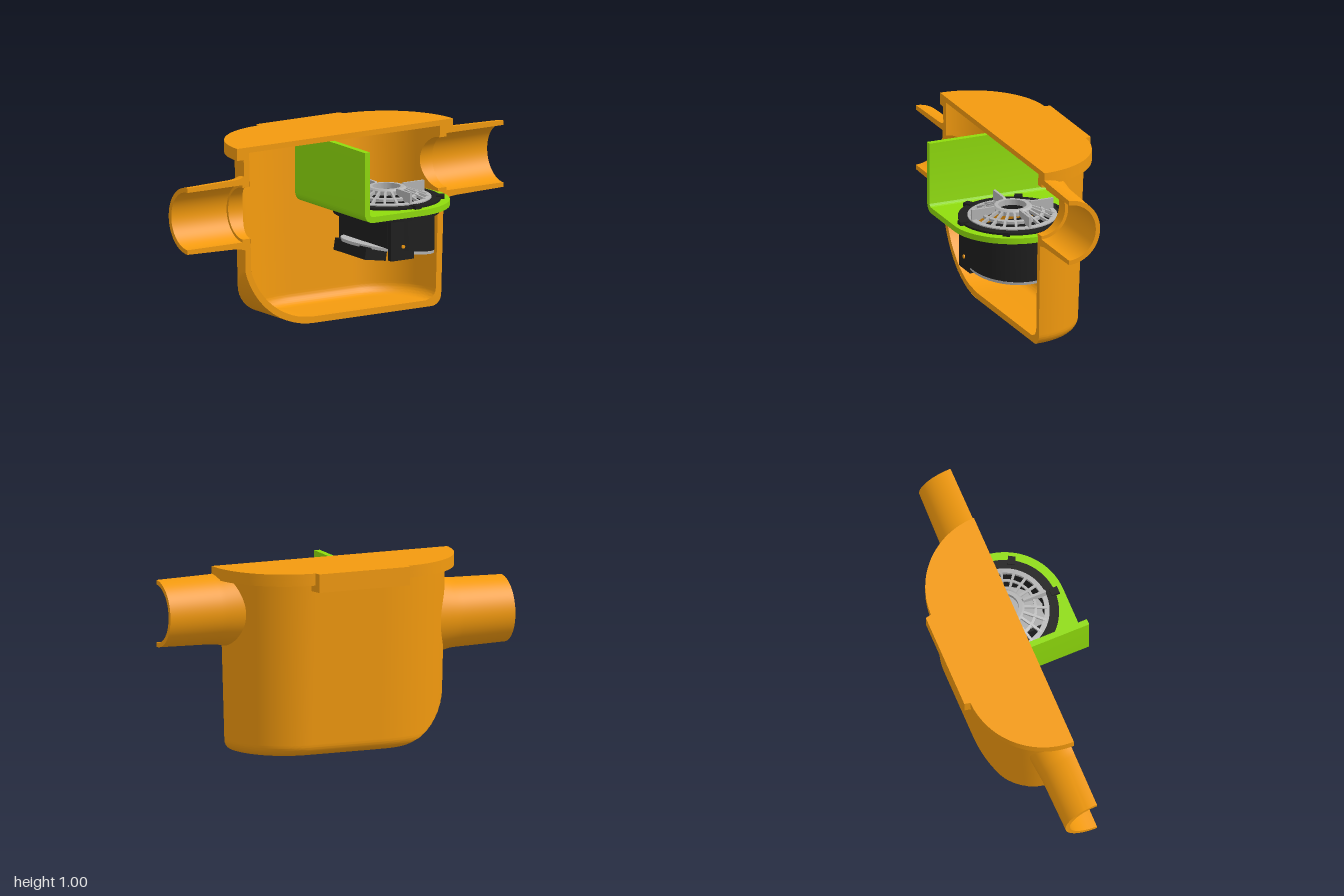
import * as THREE from 'three';
import { toCreasedNormals } from 'three/addons/utils/BufferGeometryUtils.js';

const CUT = 0.06; // z of the section plane
const mat = (color) => new THREE.MeshStandardMaterial({ color, side: THREE.DoubleSide });
const ORANGE = mat(0xf39a0e), GREEN = mat(0x8fdb0c), BLACK = mat(0x1e1e1e), GREY = mat(0xb4b4b4);

// Wall extents at height y, moved inwards by inset
function section(y, inset) {
  const r = 0.06, h = Math.max(y - inset, 0);
  const f = h < r ? r - Math.sqrt(r * r - (r - h) ** 2) : 0;
  const side = -0.625 - 0.02 * y + inset;
  const scoop = y < 0.45 ? -0.2 - Math.sqrt(Math.max(0, (0.45 - inset) ** 2 - (0.45 - y) ** 2)) : -9;
  return { side, left: Math.max(side, scoop), right: 0.605 + 0.03 * y - inset - f, depth: 0.345 + 0.04 * y - inset - f };
}

// Half plan of the tank as [x, depth], from the left end round the back to the right
function plan(y, inset) {
  const s = section(y, inset), pts = [], c0 = -0.135, c1 = s.right - s.depth;
  for (let i = 0; i <= 44; i++) {
    const a = (i / 44) * Math.PI / 2;
    pts.push([c0 - (c0 - s.side) * Math.cos(a), s.depth * Math.sin(a)]);
  }
  for (let i = 1; i < 22; i++) pts.push([c0 + (c1 - c0) * i / 22, s.depth]);
  for (let i = 0; i <= 40; i++) {
    const a = (i / 40) * Math.PI / 2;
    pts.push([c1 + s.depth * Math.sin(a), s.depth * Math.cos(a)]);
  }
  return pts.map(([x, d]) => [Math.max(x, s.left), d]);
}

function wallX(sign, y, d, inset) {
  const s = section(y, inset), k = Math.sqrt(Math.max(0, 1 - (d / s.depth) ** 2));
  return sign < 0 ? -0.135 - (-0.135 - s.side) * k : s.right - s.depth + s.depth * k;
}

const PIPES = [
  { name: 'rightPipe', sign: -1, y: 0.645, bore: 0.14, step: 0.65 },
  { name: 'leftPipe', sign: 1, y: 0.77, bore: 0.137, step: 0.64 },
];

// Surface through rows of points; skip() leaves out quads
function gridGeometry(rows, skip = () => false) {
  const n = rows[0].length, idx = [];
  for (let j = 0; j < rows.length - 1; j++) for (let i = 0; i < n - 1; i++) {
    if (skip(rows[j][i], rows[j + 1][i + 1])) continue;
    const a = j * n + i, b = a + n;
    idx.push(a, b, a + 1, b, b + 1, a + 1);
  }
  const g = new THREE.BufferGeometry();
  g.setAttribute('position', new THREE.Float32BufferAttribute(rows.flat(2), 3));
  g.setIndex(idx);
  return toCreasedNormals(g, 0.6);
}

function tankSkin(inset, top, margin) {
  const rows = [plan(inset, inset).map(([x]) => [x, inset, CUT])];
  for (let j = 0; j <= 90; j++) {
    const y = inset + (top - inset) * (j / 90) ** 1.5;
    rows.push(plan(y, inset).map(([x, d]) => [x, y, CUT - d]));
  }
  // openings for the two pipes
  return gridGeometry(rows, (p, q) => PIPES.some((o) => (p[0] + q[0]) * o.sign > 0.7 &&
    Math.hypot((p[1] + q[1]) / 2 - o.y, (p[2] + q[2]) / 2 - CUT) < o.bore + margin));
}

const shapeOf = (pts) => new THREE.Shape(pts.map(([x, y]) => new THREE.Vector2(x, y)));

function extrude(shape, depth) {
  return new THREE.ExtrudeGeometry(shape, { depth, bevelEnabled: false, curveSegments: 32 });
}

// Plan shape (x, depth to the back) raised from y0 to y1
function slab(shape, y0, y1, x = 0) {
  return toCreasedNormals(extrude(shape, y1 - y0).rotateX(-Math.PI / 2), 0.5).translate(x, y0, CUT);
}

export function createModel() {
  const root = new THREE.Group();
  const add = (parent, name, geo, material) => {
    const m = new THREE.Mesh(geo, material);
    m.name = name;
    parent.add(m);
    return m;
  };
  const T = 0.035;

  // Tank walls and cut faces
  const tank = new THREE.Group();
  tank.name = 'tank';
  root.add(tank);
  add(tank, 'outerWall', tankSkin(0, 0.95, 0.025), ORANGE);
  add(tank, 'innerWall', tankSkin(T, 0.97, 0.012), ORANGE);
  const edge = (key, inset, y0, y1) => Array.from({ length: 41 }, (_, i) => {
    const y = y0 + (y1 - y0) * i / 40;
    return [section(y, inset)[key], y];
  });
  const cut = (pts) => add(tank, 'cutFace', new THREE.ShapeGeometry(shapeOf(pts)).translate(0, 0, CUT), ORANGE);
  cut([...edge('left', 0, 0.505, 0), ...edge('right', 0, 0, 0.633), ...edge('right', T, 0.633, T), ...edge('left', T, T, 0.505)]);
  cut([...edge('left', 0, 0.785, 0.96), ...edge('left', T, 0.96, 0.785)]);
  cut([...edge('right', 0, 0.907, 0.96), ...edge('right', T, 0.96, 0.907)]);

  // Lid, flange and rear tab
  const rim = [];
  for (const c of [-0.265, 0.26]) for (let i = 0; i <= 28; i++) {
    const a = Math.PI * (c < 0 ? 1 - i / 56 : 0.5 - i / 56);
    rim.push([c + 0.42 * Math.cos(a), 0.42 * Math.sin(a)]);
  }
  add(root, 'lid', slab(shapeOf(rim), 0.97, 1), ORANGE);
  add(root, 'flange', slab(shapeOf([...rim, ...plan(0.95, T).reverse()]), 0.935, 0.97), ORANGE);
  add(root, 'rearTab', slab(shapeOf([[-0.28, 0.385], [-0.265, 0.452], [0.26, 0.452], [0.275, 0.385]]), 0.9, 1), ORANGE);

  // Half pipes, their inner ends following the tank wall
  for (const o of PIPES) {
    // [x from centre, or wall inset when flagged, radius]
    const prof = [[T + 0.002, o.bore + 0.028, 1], [T + 0.002, o.bore, 1], [o.step, o.bore], [o.step, 0.155],
      [1, 0.155], [1, 0.18], [0.7, 0.187], [0.668, 0.19], [0, 0.2, 1]];
    const rows = prof.map(([v, r, onWall]) => Array.from({ length: 41 }, (_, i) => {
      const a = (i / 40) * Math.PI, y = o.y + r * Math.cos(a), d = r * Math.sin(a);
      return [onWall ? wallX(o.sign, y, d, v) : v * o.sign, y, CUT - d];
    }));
    const pipe = new THREE.Group();
    pipe.name = o.name;
    root.add(pipe);
    add(pipe, 'pipeWall', gridGeometry(rows), ORANGE);
    for (const k of [0, 40]) {
      const face = shapeOf(rows.slice(1).map((r) => [r[k][0], r[k][1]]));
      add(pipe, 'pipeCutFace', new THREE.ShapeGeometry(face).translate(0, 0, CUT), ORANGE);
    }
  }

  // Green bracket: D-shaped shelf, bend and upright
  const CX = 0.26, R = 0.335;
  const bracket = new THREE.Group();
  bracket.name = 'bracket';
  root.add(bracket);
  const shelf = new THREE.Shape();
  shelf.moveTo(-0.045, -R).lineTo(CX, -R).absarc(CX, 0, R, -Math.PI / 2, Math.PI / 2, false).lineTo(-0.045, R).closePath();
  shelf.holes.push(new THREE.Path().absarc(CX, 0, 0.25, 0, Math.PI * 2, true));
  add(bracket, 'shelf', slab(shelf, 0.583, 0.615), GREEN);
  const upright = new THREE.Shape();
  upright.moveTo(-0.097, 0.968).lineTo(-0.097, 0.635).absarc(-0.045, 0.635, 0.052, Math.PI, Math.PI * 1.5, false)
    .lineTo(-0.045, 0.615).absarc(-0.045, 0.635, 0.02, Math.PI * 1.5, Math.PI, true).lineTo(-0.065, 0.968).closePath();
  add(bracket, 'upright', toCreasedNormals(extrude(upright, 2 * R), 0.5).translate(0, 0, CUT - R), GREEN);

  // Drain insert
  const drain = new THREE.Group();
  drain.name = 'drainInsert';
  drain.position.set(CX, 0, CUT);
  root.add(drain);
  const ring = (name, pts, material) => {
    const closed = [...pts, pts[0]].map(([x, y]) => new THREE.Vector2(x, y));
    return add(drain, name, toCreasedNormals(new THREE.LatheGeometry(closed, 56), 0.5), material);
  };
  ring('seatRing', [[0.235, 0.55], [0.283, 0.55], [0.283, 0.583], [0.25, 0.583], [0.25, 0.615], [0.288, 0.615], [0.288, 0.626], [0.235, 0.626]], BLACK);
  for (let i = 0; i < 6; i++) {
    const a = Math.PI / 6 + i * Math.PI / 3;
    const clip = add(drain, 'clip', new THREE.BoxGeometry(0.045, 0.02, 0.04), BLACK);
    clip.position.set(0.285 * Math.cos(a), 0.625, 0.285 * Math.sin(a));
    clip.rotation.y = -a;
  }

  // Cylinder with one flat side and a slanted lower rim
  const chord = Math.acos(-0.135 / 0.255), chordIn = Math.acos(-0.12 / 0.24);
  const body = new THREE.Shape().absarc(0, 0, 0.255, -chord, chord, false);
  body.closePath();
  body.holes.push(new THREE.Path().absarc(0, 0, 0.24, chordIn, -chordIn, true));
  const bodyGeo = extrude(body, 0.215).rotateX(-Math.PI / 2).translate(0, 0.336, 0);
  const p = bodyGeo.attributes.position;
  for (let i = 0; i < p.count; i++) if (p.getY(i) < 0.4) p.setY(i, 0.378 - 0.16 * Math.max(p.getX(i), -0.14));
  add(drain, 'drainBody', toCreasedNormals(bodyGeo, 0.5), BLACK);

  // Tilted flap with its hinge block and pin
  const flap = add(drain, 'flap', new THREE.CylinderGeometry(0.25, 0.25, 0.016, 48), GREY);
  flap.position.set(0.005, 0.369, 0);
  flap.rotation.z = -0.165;
  const weight = add(drain, 'flapWeight', new THREE.BoxGeometry(0.135, 0.065, 0.3), BLACK);
  weight.position.set(-0.165, 0.363, 0);
  weight.rotation.z = -0.165;
  for (const s of [-1, 1]) {
    const lug = add(drain, 'hingeLug', new THREE.BoxGeometry(0.145, 0.215, 0.03), BLACK);
    lug.position.set(-0.062, 0.445, s * 0.235);
    const pin = add(drain, 'hingePin', new THREE.CylinderGeometry(0.01, 0.01, 0.012, 16).rotateX(Math.PI / 2), ORANGE);
    pin.position.set(-0.06, 0.41, s * 0.251);
  }

  // Strainer: rings, sloping ribs and four upright fins
  ring('strainerRim', [[0.212, 0.612], [0.238, 0.612], [0.238, 0.632], [0.212, 0.636]], GREY);
  ring('strainerMiddleRing', [[0.158, 0.64], [0.172, 0.635], [0.172, 0.65], [0.158, 0.655]], GREY);
  ring('strainerHub', [[0.075, 0.655], [0.105, 0.655], [0.105, 0.677], [0.095, 0.686], [0.075, 0.686]], GREY);
  for (let i = 0; i < 20; i++) {
    const a = i * Math.PI / 10;
    const rib = add(drain, 'rib', new THREE.BoxGeometry(0.14, 0.016, 0.013).rotateZ(-0.34).translate(0.163, 0.648, 0), GREY);
    rib.rotation.y = a;
  }
  const finShape = shapeOf([[0.09, 0.668], [0.105, 0.69], [0.235, 0.69], [0.235, 0.62]]);
  for (let i = 0; i < 4; i++) {
    const fin = add(drain, 'fin', extrude(finShape, 0.014).translate(0, 0, -0.007), GREY);
    fin.rotation.y = i * Math.PI / 2;
  }
  return root;
}
